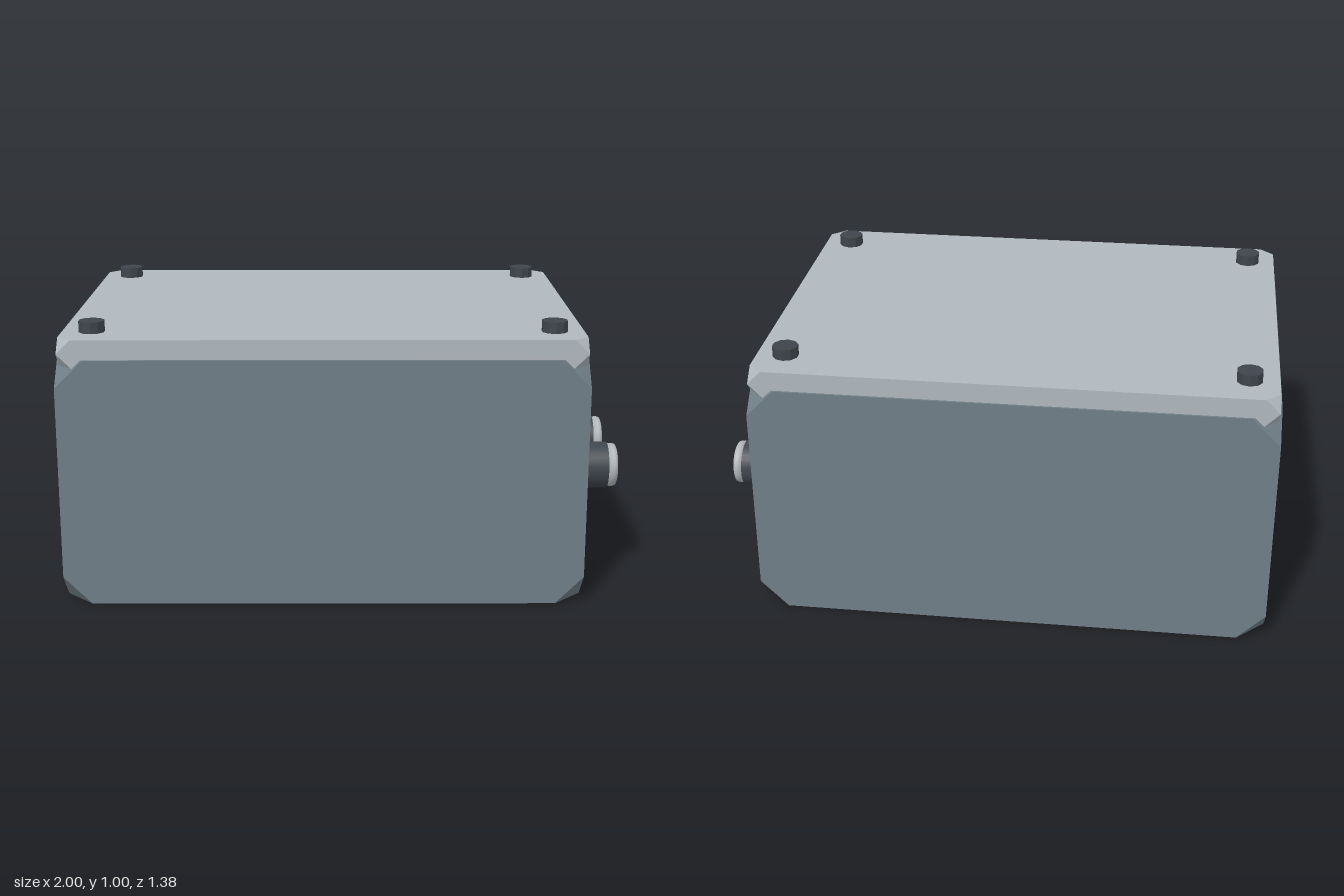
import * as THREE from 'three';
import { ConvexGeometry } from 'three/addons/geometries/ConvexGeometry.js';

const material = (color, flatShading = false) => {
  const m = new THREE.MeshStandardMaterial({ flatShading });
  m.color.set(color);
  return m;
};

// Box whose eight corners are cut off diagonally
function cutCornerBox(w, h, d, cut) {
  const points = [];
  for (const sx of [-1, 1]) for (const sy of [-1, 1]) for (const sz of [-1, 1]) {
    for (let axis = 0; axis < 3; axis++) {
      const p = new THREE.Vector3(sx * w / 2, sy * h / 2, sz * d / 2);
      p.setComponent(axis, p.getComponent(axis) - [sx, sy, sz][axis] * cut);
      points.push(p);
    }
  }
  return new ConvexGeometry(points);
}

export function createModel() {
  const model = new THREE.Group();
  model.name = 'junctionBox';
  const bodyMat = material(0x6f7e87, true);
  const lidMat = material(0xb0b8be, true);
  const screwMat = material(0x3e454c, true);
  const darkMat = material(0x3e454c);
  const ringMat = material(0xb4b9bc);

  const add = (parent, name, geometry, mat, x, y, z) => {
    const mesh = new THREE.Mesh(geometry, mat);
    mesh.name = name;
    mesh.position.set(x, y, z);
    parent.add(mesh);
    return mesh;
  };

  // Housing and lid
  add(model, 'housing', cutCornerBox(1.85, 0.89, 1.385, 0.1), bodyMat, -0.075, 0.445, 0);
  add(model, 'lid', cutCornerBox(1.83, 0.1, 1.37, 0.05), lidMat, -0.075, 0.91, 0);

  // Lid screws
  const screw = new THREE.CylinderGeometry(0.046, 0.046, 0.04, 10);
  for (const x of [-0.885, 0.735]) for (const z of [-0.543, 0.543]) {
    add(model, 'lidScrew', screw, screwMat, x, 0.98, z);
  }

  // Cable glands: dark collar with a rounded, open ring at the end
  const collar = new THREE.CylinderGeometry(0.085, 0.085, 0.125, 32);
  const ringProfile = [
    [0.055, 0], [0.079, 0], [0.08, 0.02], [0.076, 0.031], [0.067, 0.035],
    [0.059, 0.031], [0.055, 0.02], [0.055, 0],
  ].map(([r, y]) => new THREE.Vector2(r, y));
  const ring = new THREE.LatheGeometry(ringProfile, 32);
  for (const z of [-0.372, 0, 0.372]) {
    const gland = new THREE.Group();
    gland.name = 'cableGland';
    gland.position.set(0.84, 0.42, z);
    gland.rotation.z = -Math.PI / 2;
    add(gland, 'glandCollar', collar, darkMat, 0, 0.0625, 0);
    add(gland, 'glandRing', ring, ringMat, 0, 0.125, 0);
    model.add(gland);
  }
  return model;
}
